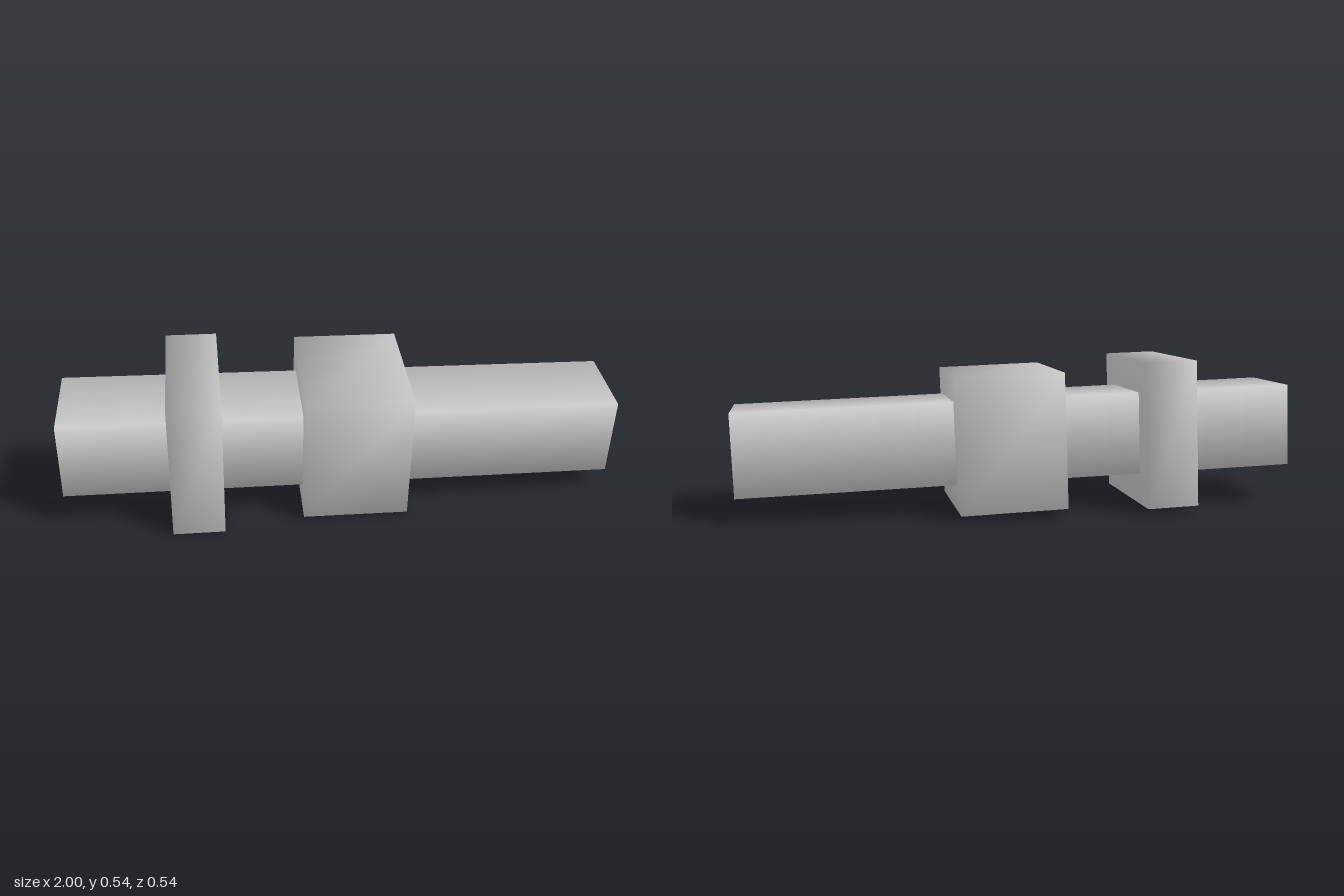
import * as THREE from 'three';
import { mergeVertices } from 'three/addons/utils/BufferGeometryUtils.js';

const material = new THREE.MeshStandardMaterial({ color: 0xcccccc });

function place(name, geometry, position, rotation) {
  const mesh = new THREE.Mesh(geometry, material);
  mesh.name = name;
  mesh.position.set(...position);
  mesh.rotation.set(...rotation);
  return mesh;
}

// Square prism along x, softly shaded around its sides, narrowing in depth
function shaftGeometry(length, height, depthAt) {
  const g = new THREE.CylinderGeometry(Math.SQRT1_2, Math.SQRT1_2, length, 4, 1, false, Math.PI / 4);
  g.rotateZ(-Math.PI / 2);
  const p = g.attributes.position;
  for (let i = 0; i < p.count; i++) {
    p.setY(i, p.getY(i) * height);
    p.setZ(i, p.getZ(i) * depthAt(p.getX(i)));
  }
  return g;
}

// Block with shared corners, so its shading runs smoothly over the edges
function collarGeometry(width, height, depth) {
  const g = new THREE.BoxGeometry(width, height, depth);
  g.deleteAttribute('normal');
  g.deleteAttribute('uv');
  const merged = mergeVertices(g);
  merged.computeVertexNormals();
  return merged;
}

export function createModel() {
  const group = new THREE.Group();
  group.name = 'collaredShaft';

  group.add(
    // Long square shaft, slightly tilted
    place('shaft', shaftGeometry(1.988, 0.293, (x) => 0.309 - 0.013 * x),
      [0, 0.258, -0.015], [0.044, 0.015, -0.026]),
    // Tall, thin collar
    place('narrowCollar', collarGeometry(0.185, 0.518, 0.515),
      [-0.522, 0.271, 0.001], [0.042, 0.025, -0.026]),
    // Wide collar near the middle
    place('wideCollar', collarGeometry(0.378, 0.478, 0.472),
      [0.045, 0.257, -0.024], [0.04, 0.02, -0.028])
  );
  return group;
}
